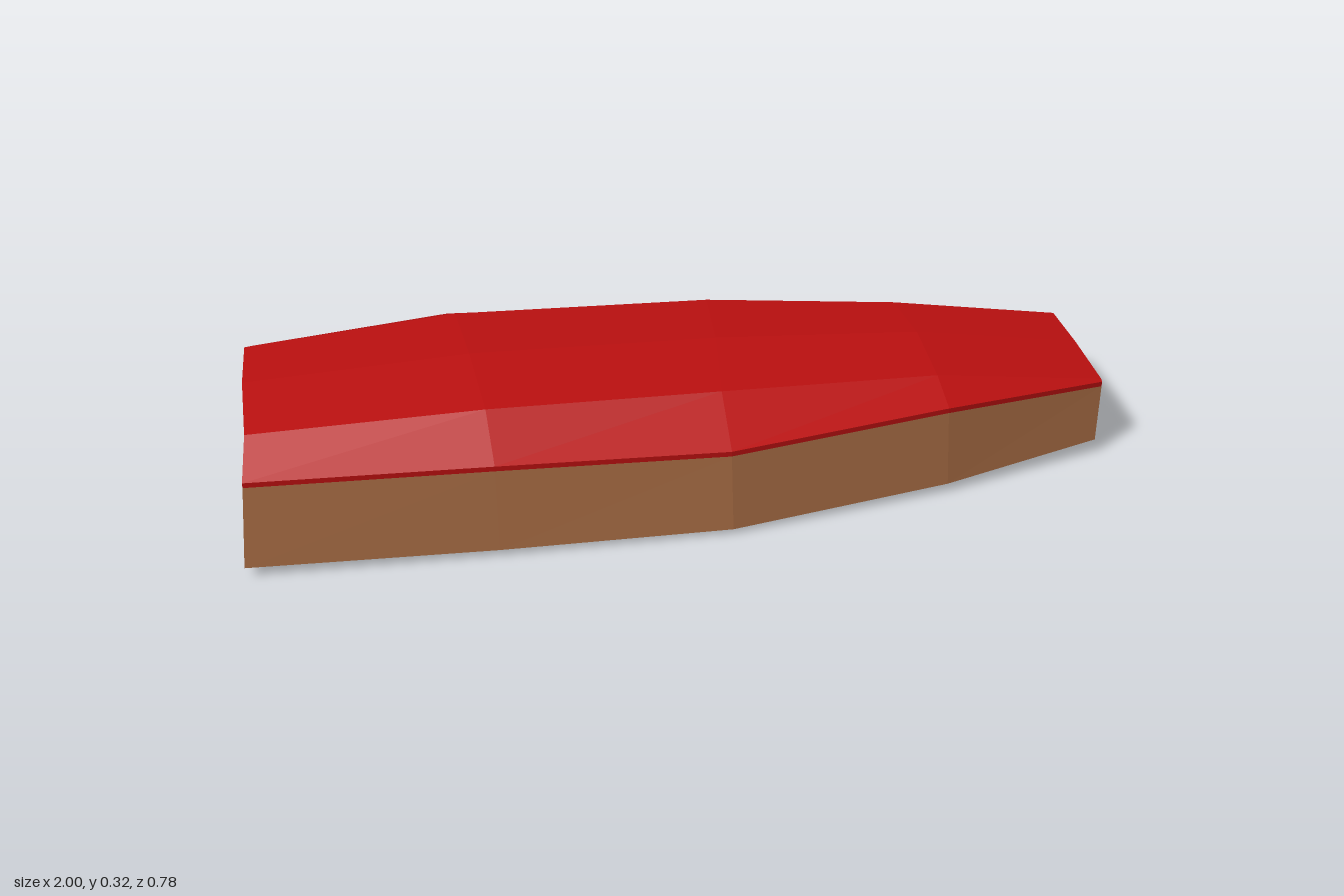
import * as THREE from 'three';

const red = new THREE.MeshStandardMaterial({ color: 0xbd1010, flatShading: true });
red.name = 'red shell';
const brown = new THREE.MeshStandardMaterial({ color: 0xa66b43, flatShading: true });
brown.name = 'brown body';

// Lengthwise rails, each running from the -x end to the +x end
const upper = [
  [[-0.985, 0.225, 0.285], [-0.45, 0.217, 0.33], [0.07, 0.2, 0.363], [0.59, 0.208, 0.31], [0.995, 0.178, 0.23]], // front rim
  [[-0.968, 0.292, 0.2], [-0.45, 0.301, 0.228], [0.08, 0.276, 0.23], [0.59, 0.245, 0.222], [0.996, 0.181, 0.222]], // front crease
  [[-0.957, 0.312, 0.01], [-0.45, 0.32, 0.01], [0.12, 0.293, 0.02], [0.6, 0.261, 0.045], [0.996, 0.193, 0.06]], // crown
  [[-0.94, 0.3, -0.17], [-0.45, 0.309, -0.203], [0.15, 0.281, -0.185], [0.6, 0.25, -0.125], [0.99, 0.203, -0.067]], // back crease
  [[-0.915, 0.23, -0.3], [-0.45, 0.228, -0.355], [0.16, 0.2, -0.316], [0.6, 0.175, -0.225], [0.985, 0.165, -0.113]], // shoulder
  [[-0.91, 0.115, -0.35], [-0.46, 0.125, -0.39], [0.17, 0.124, -0.352], [0.6, 0.103, -0.28], [0.98, 0.122, -0.16]], // back rim
];
const bottomFront = [[-1, 0.025, 0.31], [-0.45, 0.016, 0.355], [0.07, 0.012, 0.388], [0.59, 0.022, 0.335], [0.982, 0.036, 0.253]];
const bottomMid = [[-0.965, 0.05, 0.05], [-0.45, 0.05, 0.058], [0.1, 0.05, 0.06], [0.59, 0.05, 0.06], [0.98, 0.05, 0.06]];
const bottomBack = [[-0.925, 0.01, -0.325], [-0.46, 0, -0.36], [0.16, 0.006, -0.325], [0.6, 0.018, -0.25], [0.975, 0.034, -0.132]];

// Lower edge of the thin shell
const lower = upper.map(rail => rail.map(([x, y, z]) => [x, y - 0.012, z]));

const quad = (out, a, b, c, d) => out.push(...a, ...b, ...c, ...a, ...c, ...d);

// Faces between two neighbouring rails
function strip(out, a, b) {
  for (let i = 0; i < a.length - 1; i++) quad(out, a[i], a[i + 1], b[i + 1], b[i]);
}

function addMesh(group, name, positions, material) {
  const geometry = new THREE.BufferGeometry();
  geometry.setAttribute('position', new THREE.Float32BufferAttribute(positions, 3));
  geometry.computeVertexNormals();
  const mesh = new THREE.Mesh(geometry, material);
  mesh.name = name;
  group.add(mesh);
}

export function createModel() {
  const group = new THREE.Group();
  group.name = 'facetedShell';
  const last = upper[0].length - 1;

  // Red faceted cover
  const cover = [];
  for (let k = 0; k < upper.length - 1; k++) strip(cover, upper[k], upper[k + 1]);
  addMesh(group, 'cover', cover, red);

  // Thin red edge round the cover
  const edge = [];
  strip(edge, lower[0], upper[0]);
  strip(edge, upper[5], lower[5]);
  for (let k = 0; k < upper.length - 1; k++) {
    quad(edge, lower[k][last], lower[k + 1][last], upper[k + 1][last], upper[k][last]);
    quad(edge, lower[k + 1][0], lower[k][0], upper[k][0], upper[k + 1][0]);
  }
  addMesh(group, 'coverEdge', edge, red);

  // Brown side walls
  const walls = [];
  strip(walls, bottomFront, lower[0]);
  strip(walls, lower[5], bottomBack);
  addMesh(group, 'sideWalls', walls, brown);

  // Hollowed underside
  const underside = [];
  strip(underside, bottomBack, bottomMid);
  strip(underside, bottomMid, bottomFront);
  addMesh(group, 'underside', underside, brown);

  // End caps, fanned from the underside ridge
  const ends = [];
  const loop = [bottomFront, ...lower, bottomBack];
  for (let k = 0; k < loop.length - 1; k++) {
    ends.push(...bottomMid[0], ...loop[k][0], ...loop[k + 1][0]);
    ends.push(...bottomMid[last], ...loop[k + 1][last], ...loop[k][last]);
  }
  addMesh(group, 'endCaps', ends, brown);

  return group;
}
